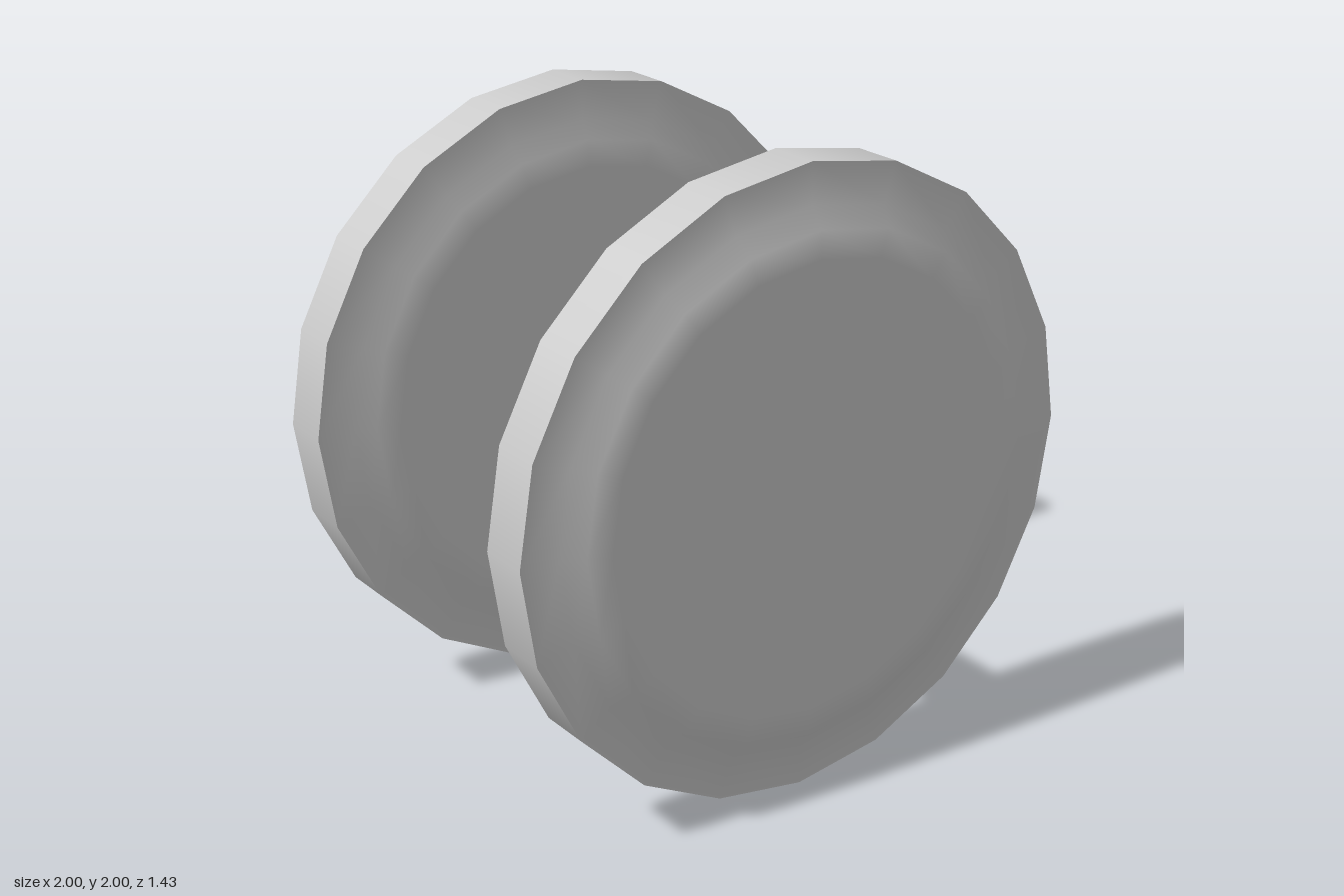
import * as THREE from 'three';

const material = new THREE.MeshStandardMaterial({ color: 0xcccccc, side: THREE.DoubleSide });
const SIDES = 20;

// Profile points [radius, z], turned around the z axis
function turned(name, profile) {
  const points = profile.map(([r, z]) => new THREE.Vector2(r, z));
  const geometry = new THREE.LatheGeometry(points, SIDES).rotateX(Math.PI / 2);
  const mesh = new THREE.Mesh(geometry, material);
  mesh.name = name;
  return mesh;
}

// Wheel facing +z: raised disc on both sides, hard edges at the rim only
function createWheel(name) {
  const wheel = new THREE.Group();
  wheel.name = name;
  wheel.add(
    turned('innerFace', [[0, 0.468], [0.72, 0.468], [0.81, 0.468], [0.87, 0.5], [1, 0.5]]),
    turned('rim', [[1, 0.5], [1, 0.67]]),
    turned('outerFace', [[1, 0.67], [0.87, 0.67], [0.81, 0.717], [0.72, 0.717], [0, 0.717]])
  );
  return wheel;
}

export function createModel() {
  const model = new THREE.Group();
  model.name = 'wheelset';

  // Axle between the wheels
  const axle = new THREE.Mesh(
    new THREE.CylinderGeometry(0.12, 0.12, 0.94, 32, 1, true).rotateX(Math.PI / 2),
    material
  );
  axle.name = 'axle';

  // Two mirrored wheels
  const front = createWheel('frontWheel');
  const back = createWheel('backWheel');
  back.rotation.y = Math.PI;

  model.add(axle, front, back);
  model.children.forEach((part) => { part.position.y = 1; });
  return model;
}
